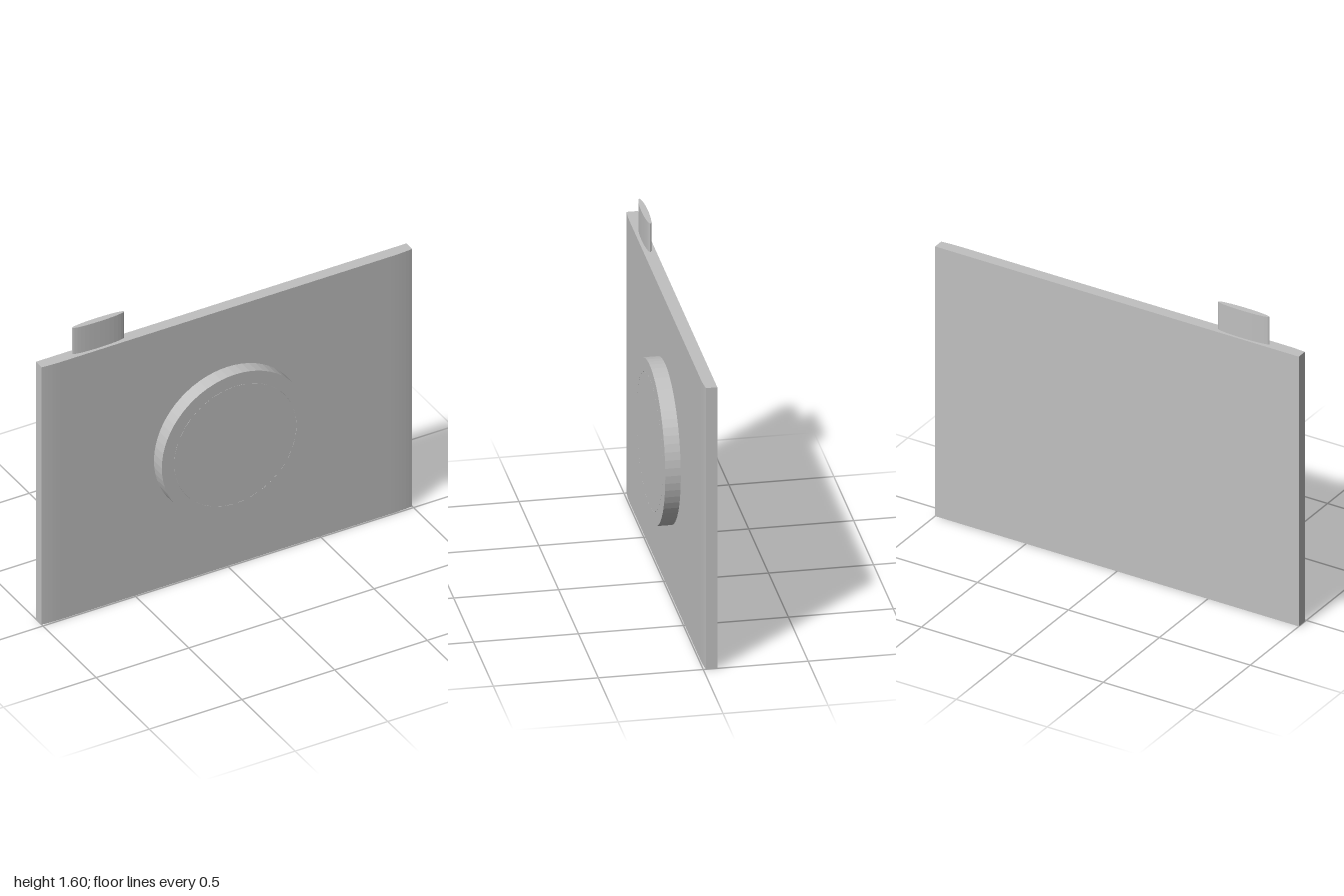
import * as THREE from 'three';

export function createModel() {
  const group = new THREE.Group();
  const grey = new THREE.MeshStandardMaterial({ color: 0xc0c0c0 });
  grey.name = 'grey';
  grey.flatShading = true;

  const add = (name, geometry, x, y, z) => {
    const mesh = new THREE.Mesh(geometry, grey);
    mesh.name = name;
    mesh.position.set(x, y, z);
    group.add(mesh);
    return mesh;
  };

  // Slab: plan outline (x, -z) with front edges easing back slightly, extruded upward
  const front = 0.007, edge = 0.013, back = 0.067;
  const plan = new THREE.Shape();
  plan.moveTo(-1, edge);
  plan.quadraticCurveTo(-0.95, front, -0.88, front);
  plan.lineTo(0.88, front);
  plan.quadraticCurveTo(0.95, front, 1, edge);
  plan.lineTo(1, back);
  plan.lineTo(-1, back);
  plan.closePath();
  const slab = new THREE.ExtrudeGeometry(plan, { depth: 1.45, bevelEnabled: false, curveSegments: 6 });
  slab.rotateX(-Math.PI / 2);
  add('body', slab, 0, 0, 0);

  // Lens: an outer ring with a flush disc filling it
  const outline = new THREE.Shape().absarc(0, 0, 0.397, 0, Math.PI * 2);
  outline.holes.push(new THREE.Path().absarc(0, 0, 0.33, 0, Math.PI * 2, true));
  const ring = new THREE.ExtrudeGeometry(outline, { depth: 0.075, bevelEnabled: false, curveSegments: 32 });
  add('lensRing', ring, 0, 0.726, -0.008);
  const disc = new THREE.CylinderGeometry(0.33, 0.33, 0.075, 32);
  disc.rotateY(Math.PI / 2);
  disc.rotateX(Math.PI / 2);
  add('lensDisc', disc, 0, 0.726, 0.0295);

  // Button: slim elliptical post on the top edge
  const button = new THREE.CylinderGeometry(1, 1, 0.15, 32);
  button.scale(0.141, 1, 0.016);
  add('button', button, -0.68, 1.522, -0.039);

  return group;
}
